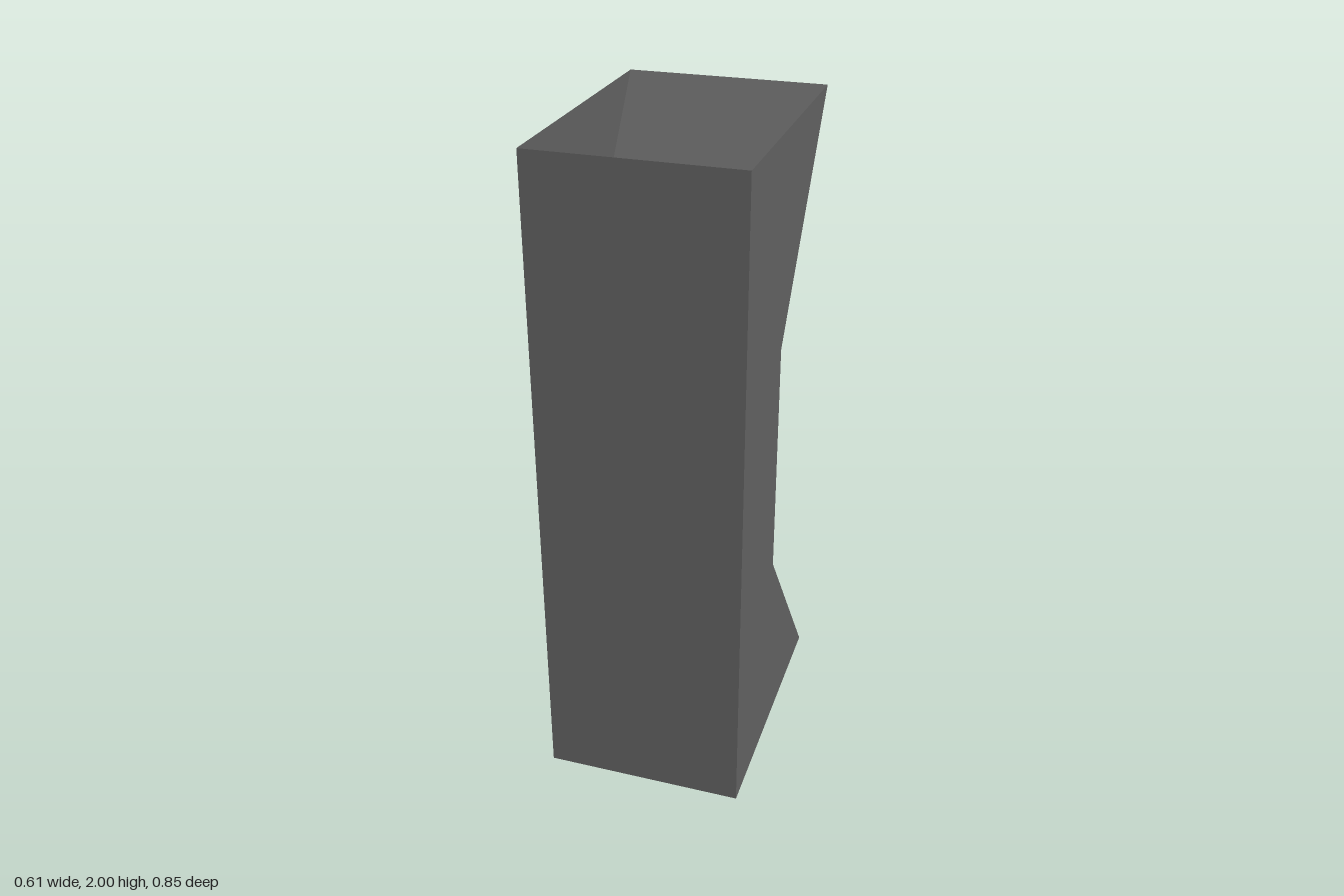
import * as THREE from 'three';

const HALF_WIDTH = 0.304;

// Side outline as [z, y], running up the front and down the notched back
const outline = [
  [0.427, 0], [0.427, 2], [-0.427, 2], [0.043, 1.36], [0.043, 0.625], [-0.427, 0],
];

// Flat panel spanning the full width between two outline points
function panelGeometry([z0, y0], [z1, y1]) {
  const w = HALF_WIDTH;
  const geometry = new THREE.BufferGeometry();
  geometry.setAttribute('position', new THREE.Float32BufferAttribute([
    -w, y0, z0, w, y0, z0, w, y1, z1, -w, y1, z1,
  ], 3));
  geometry.setIndex([0, 1, 2, 0, 2, 3]);
  geometry.computeVertexNormals();
  return geometry;
}

export function createModel() {
  const model = new THREE.Group();
  model.name = 'openDuct';
  const grey = new THREE.MeshStandardMaterial({ color: 0x626262, side: THREE.DoubleSide, flatShading: true });
  grey.name = 'dark grey';

  const add = (name, geometry) => {
    const mesh = new THREE.Mesh(geometry, grey);
    mesh.name = name;
    model.add(mesh);
    return mesh;
  };

  // Front wall and the three back panels; top and bottom stay open
  const panels = { frontWall: 0, upperBackSlope: 2, backWall: 3, lowerBackSlope: 4 };
  for (const [name, i] of Object.entries(panels)) {
    add(name, panelGeometry(outline[i], outline[i + 1]));
  }

  // Mirrored side walls
  for (const [name, s] of [['leftSide', 1], ['rightSide', -1]]) {
    const shape = new THREE.Shape(outline.map(([z, y]) => new THREE.Vector2(-s * z, y)));
    const side = add(name, new THREE.ShapeGeometry(shape).rotateY(s * Math.PI / 2));
    side.position.x = s * HALF_WIDTH;
  }

  return model;
}
